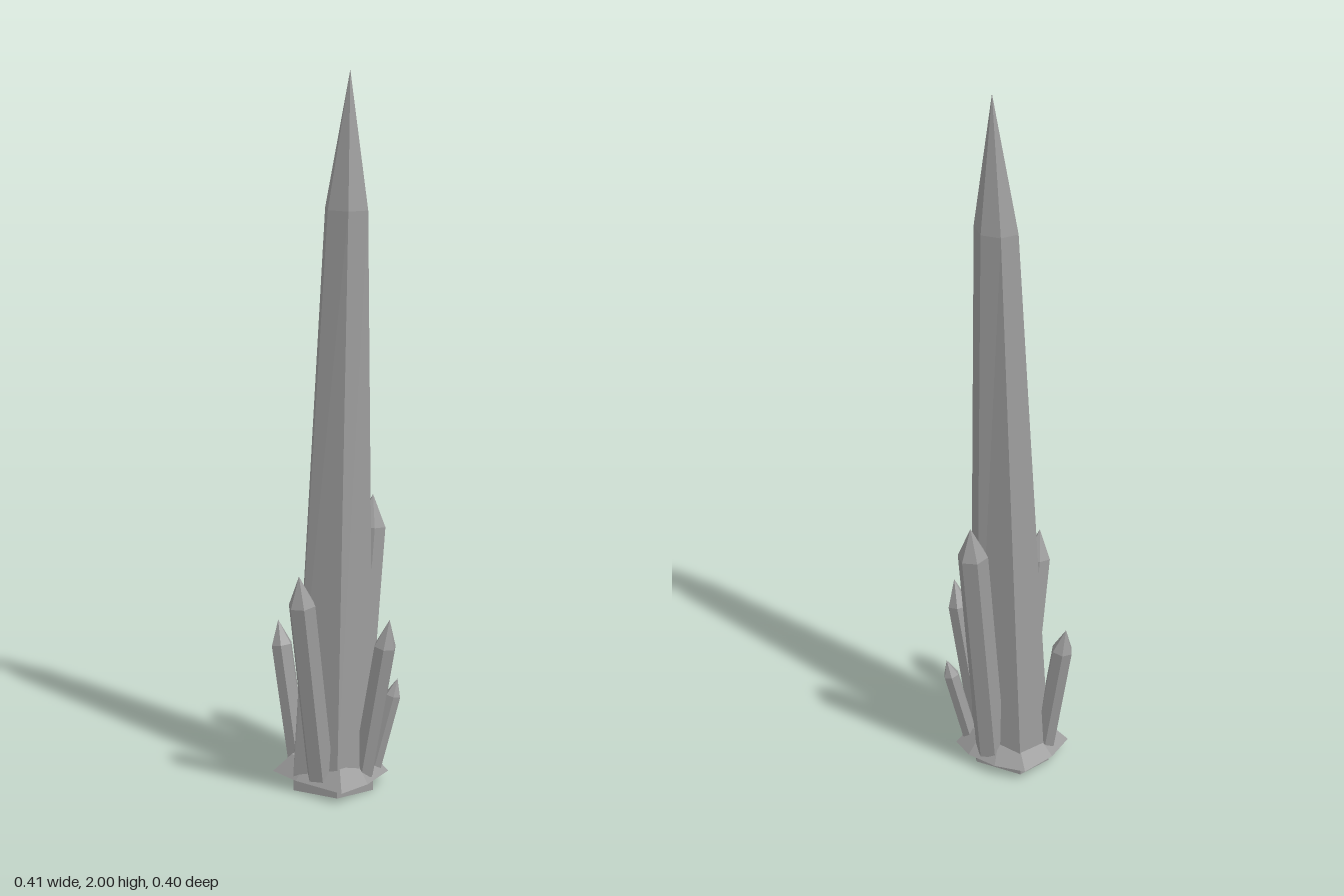
import * as THREE from 'three';

const stone = new THREE.MeshStandardMaterial({ color: 0x9c9c9c });
stone.name = 'grey stone';

// Joins rings of equal point count (bottom to top) into a flat-faceted solid
function loft(name, rings) {
  const tris = [];
  const n = rings[0].length;
  for (let r = 0; r < rings.length - 1; r++) {
    const a = rings[r], b = rings[r + 1];
    for (let i = 0; i < n; i++) {
      const j = (i + 1) % n;
      tris.push(a[i], b[i], a[j]);
      if (b[i].distanceTo(b[j]) > 1e-6) tris.push(a[j], b[i], b[j]);
    }
  }
  const low = rings[0], high = rings[rings.length - 1];
  for (let i = 1; i < n - 1; i++) {
    tris.push(low[0], low[i], low[i + 1]);
    if (high[0].distanceTo(high[1]) > 1e-6) tris.push(high[0], high[i + 1], high[i]);
  }
  const geometry = new THREE.BufferGeometry().setFromPoints(tris);
  geometry.computeVertexNormals();
  const mesh = new THREE.Mesh(geometry, stone);
  mesh.name = name;
  return mesh;
}

const level = (points, y, scale = 1) =>
  points.map(([x, z]) => new THREE.Vector3(x * scale, y, z * scale));

// Leaning six-sided prism with a pointed end
function shard(name, base, tip, radius, turn, pointLength) {
  const start = new THREE.Vector3(...base), end = new THREE.Vector3(...tip);
  const axis = end.clone().sub(start).normalize();
  const lean = new THREE.Quaternion().setFromUnitVectors(new THREE.Vector3(0, 1, 0), axis);
  const ring = (center, r) => Array.from({ length: 6 }, (_, i) => {
    const a = turn + i * Math.PI / 3;
    return new THREE.Vector3(Math.cos(a) * r, 0, Math.sin(a) * r).applyQuaternion(lean).add(center);
  });
  const shoulder = end.clone().addScaledVector(axis, -pointLength);
  return loft(name, [ring(start, radius), ring(shoulder, radius), ring(end, 0)]);
}

export function createModel() {
  const group = new THREE.Group();
  group.name = 'crystalCluster';

  // Tall central crystal
  const foot = [[-0.12, -0.055], [-0.03, -0.13], [0.08, -0.11], [0.105, 0.03], [0.025, 0.115], [-0.09, 0.08]];
  const shoulder = [[-0.03, -0.003], [0.015, -0.05], [0.065, -0.03], [0.08, 0.025], [0.033, 0.085], [-0.02, 0.06]];
  const apex = Array(6).fill([0.03, 0.025]);
  group.add(loft('mainCrystal', [level(foot, 0), level(foot, 0.05), level(shoulder, 1.63), level(apex, 2)]));

  // Flared rocky collar around the foot
  const rim = [[-0.128, -0.04], [-0.11, -0.14], [-0.01, -0.157], [0.1, -0.142], [0.13, -0.055],
    [0.13, 0.04], [0.1, 0.11], [-0.02, 0.132], [-0.122, 0.122]];
  group.add(loft('collar', [level(rim, 0.025, 0.7), level(rim, 0.034), level(rim, 0.085, 0.7)]));

  // Small crystals leaning outward: base, tip, radius, turn, point length
  const shards = [
    ['leftShard', [0.087, 0.05, -0.008], [0.17, 0.81, -0.005], 0.043, 0.1, 0.09],
    ['rightShard', [-0.09, 0.05, 0.02], [-0.178, 0.65, 0.018], 0.039, 0.2, 0.085],
    ['frontShard', [0.01, 0.05, 0.09], [0.012, 0.515, 0.182], 0.032, 0.5, 0.08],
    ['cornerShard', [0.068, 0.05, 0.082], [0.112, 0.31, 0.132], 0.023, 0.3, 0.05],
    ['backShard', [-0.035, 0.05, -0.11], [-0.036, 0.455, -0.182], 0.031, 0.4, 0.07],
  ];
  for (const s of shards) group.add(shard(...s));
  return group;
}
